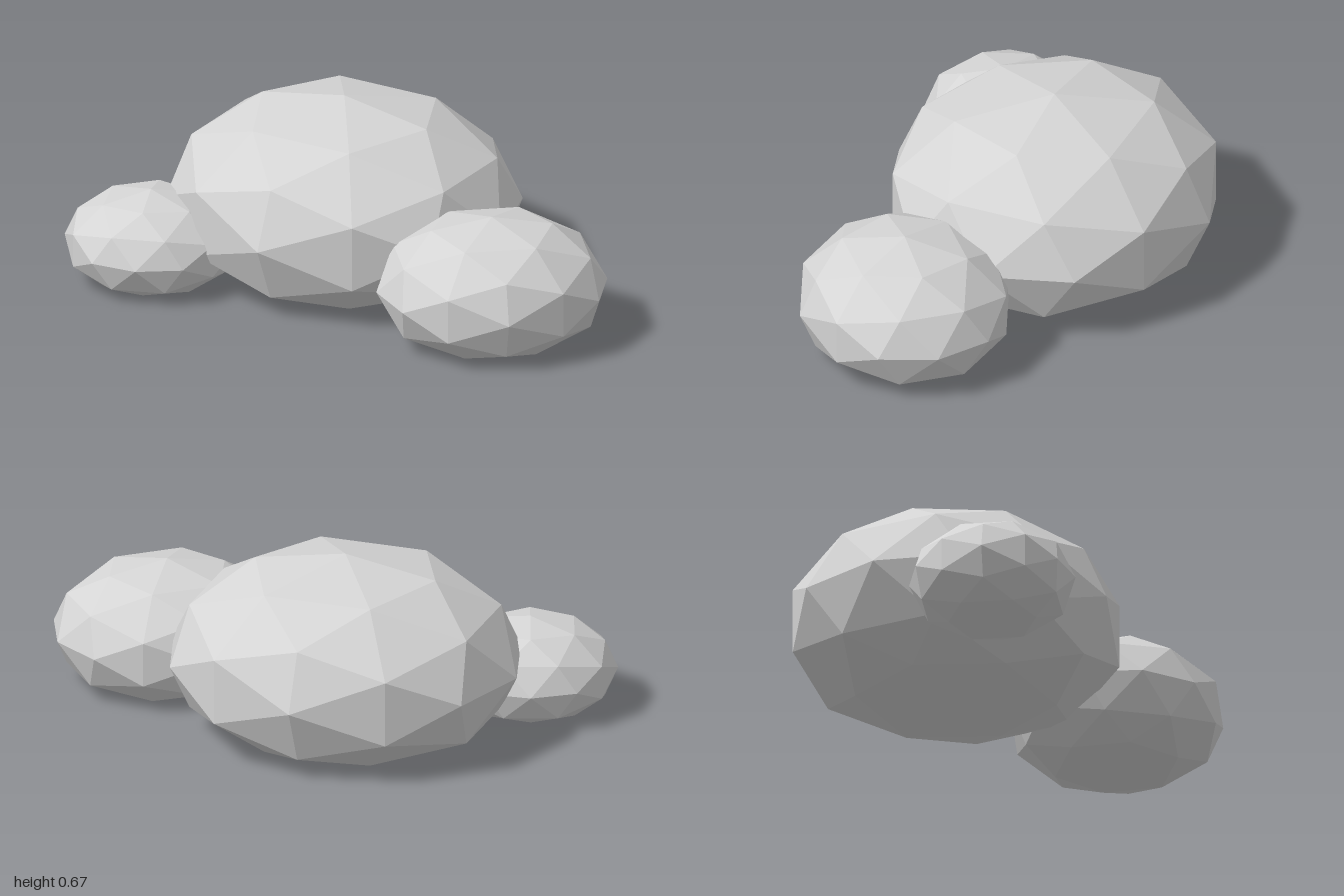
import * as THREE from 'three';

const stone = new THREE.MeshStandardMaterial({ color: 0xd4d4d4, flatShading: true });
stone.name = 'stoneGrey';

// Faceted boulder: a squashed icosphere, turned about y, flattened where it meets the ground
function boulder(name, [rx, ry, rz], [x, y, z], turn) {
  const geometry = new THREE.IcosahedronGeometry(1, 1);
  geometry.scale(rx, ry, rz).rotateY(THREE.MathUtils.degToRad(turn)).translate(x, y, z);
  const p = geometry.attributes.position;
  for (let i = 0; i < p.count; i++) p.setY(i, Math.max(0, p.getY(i)));
  geometry.computeVertexNormals();
  const mesh = new THREE.Mesh(geometry, stone);
  mesh.name = name;
  return mesh;
}

export function createModel() {
  const group = new THREE.Group();
  group.name = 'boulders';
  group.add(
    boulder('largeBoulder', [0.645, 0.39, 0.6], [-0.16, 0.28, -0.055], 0),
    boulder('mediumBoulder', [0.415, 0.263, 0.388], [0.6, 0.193, 0.195], 40),
    boulder('smallBoulder', [0.298, 0.197, 0.312], [-0.705, 0.148, 0.37], 110),
  );
  return group;
}
